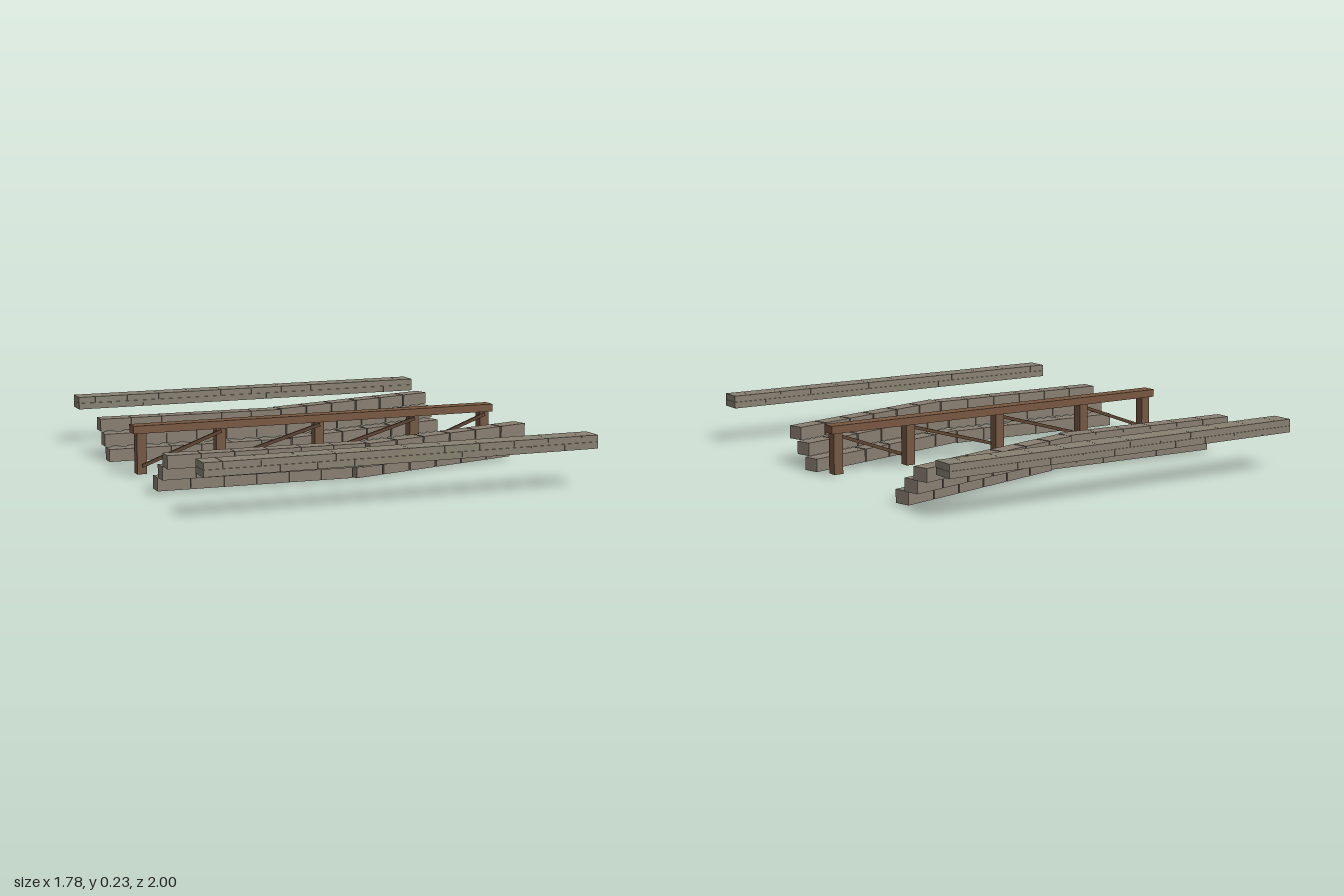
import * as THREE from 'three';

const mat = (name, color) => {
  const m = new THREE.MeshStandardMaterial({ color });
  m.name = name;
  return m;
};

export function createModel() {
  const stone = mat('terrace stone', 0x897f71);
  const wallStone = mat('wall stone', 0x878171);
  const wood = mat('beam wood', 0x785740);
  const postWood = mat('post wood', 0x755742);
  const braceWood = mat('brace wood', 0x5e4432);

  const model = new THREE.Group();
  model.name = 'terracedField';

  const group = (name) => {
    const g = new THREE.Group();
    g.name = name;
    model.add(g);
    return g;
  };
  const box = (parent, name, size, pos, material) => {
    const mesh = new THREE.Mesh(new THREE.BoxGeometry(...size), material);
    mesh.name = name;
    mesh.position.set(...pos);
    parent.add(mesh);
    return mesh;
  };

  // Raised outer walls: two courses of blocks in running bond
  const x0 = -0.89, x1 = 0.885, pitch = (x1 - x0) / 11;
  for (const side of [1, -1]) {
    const wall = group(side > 0 ? 'frontWall' : 'backWall');
    for (let course = 0; course < 2; course++) {
      for (let i = 0; i < 11 + course; i++) {
        const a = Math.max(x0, x0 + (i - course / 2) * pitch);
        const b = Math.min(x1, x0 + (i + 1 - course / 2) * pitch);
        box(wall, 'wallBlock', [b - a - 0.001, 0.029, 0.1],
          [(a + b) / 2, 0.185 + course * 0.03, side * 0.95], wallStone);
      }
    }
  }

  // Bent terraces: three stepped rows of twelve blocks, rising away from the middle
  for (const side of [1, -1]) {
    const terrace = group(side > 0 ? 'frontTerrace' : 'backTerrace');
    for (let row = 0; row < 3; row++) {
      for (let i = 0; i < 12; i++) {
        const x = -0.815 + i * 0.148;
        const bent = i > 5;
        const slope = bent ? -0.271 : 0.032;
        let z = (bent ? 0.387 : 0.373) + slope * x;
        if (side < 0) z -= (bent ? 0.928 : 0.895) - 0.1434;
        const block = box(terrace, 'terraceBlock', [0.146, 0.058, 0.073],
          [x, 0.03 + row * 0.06, z + side * row * 0.0717], stone);
        block.rotation.y = -Math.atan(slope);
      }
    }
  }

  // Timber rail on posts
  const rail = group('timberRail');
  box(rail, 'railBeam', [1.765, 0.035, 0.068], [-0.007, 0.211, 0], wood);
  const posts = [-0.85, -0.48, -0.005, 0.472, 0.838];
  for (const x of posts) box(rail, 'railPost', [0.044, 0.185, 0.046], [x, 0.1025, 0.001], postWood);

  // Diagonal braces from the foot of each post to the head of the next
  for (let i = 0; i < 4; i++) {
    const a = posts[i], b = posts[i + 1];
    const dx = b - a, dy = 0.135;
    const brace = box(rail, 'railBrace', [Math.hypot(dx, dy), 0.015, 0.012],
      [(a + b) / 2, 0.115, 0.027], braceWood);
    brace.rotation.z = Math.atan2(dy, dx);
  }

  return model;
}
